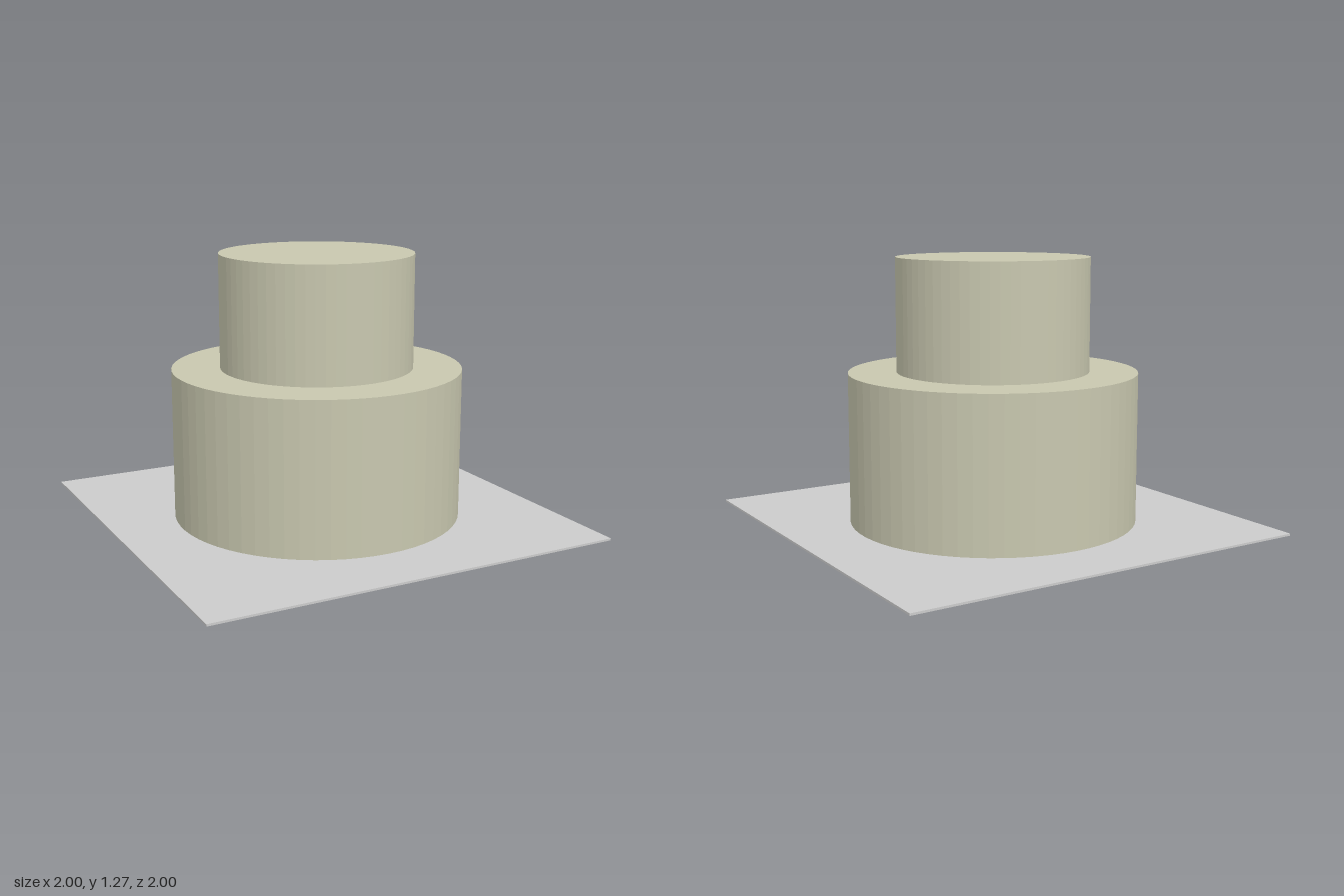
import * as THREE from 'three';

export function createModel() {
  const model = new THREE.Group();
  const plateHeight = 0.01;

  // Thin square base plate
  const plate = new THREE.Mesh(
    new THREE.BoxGeometry(2, plateHeight, 2),
    new THREE.MeshStandardMaterial({ color: 0xcccccc })
  );
  plate.name = 'basePlate';
  plate.position.y = plateHeight / 2;
  model.add(plate);

  // Two round tiers stacked on the plate
  const tierMaterial = new THREE.MeshStandardMaterial({ color: 0xc8c7af, flatShading: true });
  const tiers = [
    { name: 'lowerTier', radius: 0.693, bottom: plateHeight, top: 0.73 },
    { name: 'upperTier', radius: 0.462, bottom: 0.73, top: 1.275 },
  ];
  for (const { name, radius, bottom, top } of tiers) {
    const tier = new THREE.Mesh(
      new THREE.CylinderGeometry(radius, radius, top - bottom, 64),
      tierMaterial
    );
    tier.name = name;
    tier.position.y = (bottom + top) / 2;
    model.add(tier);
  }

  return model;
}
